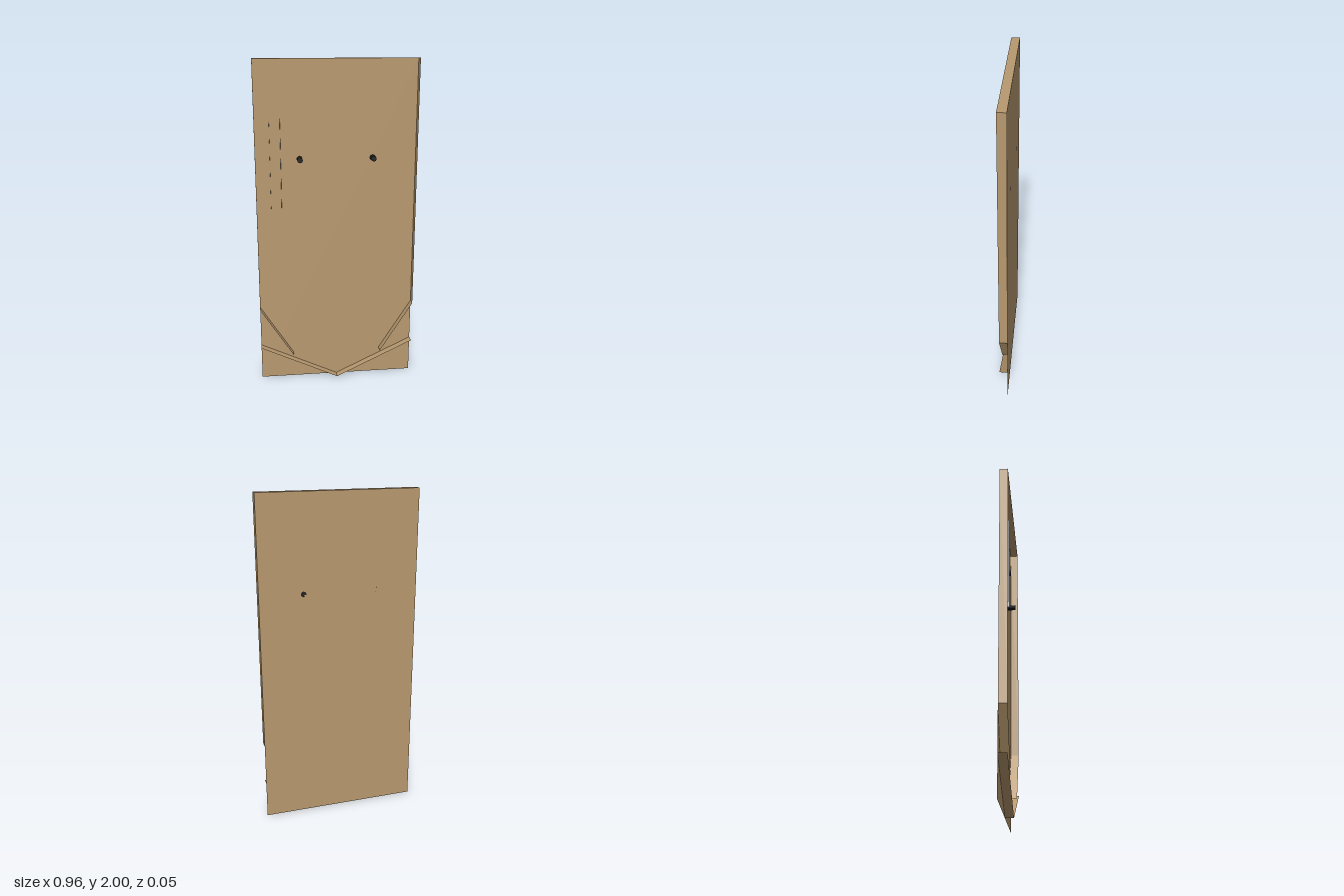
import * as THREE from 'three';

export function createModel() {
  const model = new THREE.Group();
  const material = (name, color) =>
    new THREE.MeshStandardMaterial({ name, color, side: THREE.DoubleSide, flatShading: true });
  const wood = material('wood', 0xb8996f);
  const steel = material('steel', 0xaeb2b6);
  const rubber = material('black rubber', 0x222222);

  const W = 0.48, H = 2, D = 0.05;

  const add = (name, geometry, mat, x, y, z = 0) => {
    const mesh = new THREE.Mesh(geometry, mat);
    mesh.name = name;
    mesh.position.set(x, y, z);
    model.add(mesh);
    return mesh;
  };

  // Thin strip standing out from the board between two points on it
  const strip = (name, mat, x1, y1, x2, y2) => {
    const length = Math.hypot(x2 - x1, y2 - y1);
    const geometry = new THREE.PlaneGeometry(length, D).rotateX(-Math.PI / 2);
    const mesh = add(name, geometry, mat, (x1 + x2) / 2, (y1 + y2) / 2);
    mesh.rotation.z = Math.atan2(y2 - y1, x2 - x1);
  };

  // Back board and top rail
  add('backBoard', new THREE.PlaneGeometry(2 * W, H), wood, 0, H / 2, -D / 2);
  strip('topRail', wood, W, H, -W, H);

  // Mirrored walls, guides, sloping floor and pegs
  for (const [side, s] of [['left', 1], ['right', -1]]) {
    strip(side + 'Wall', wood, s * W, 0.487, s * W, H);
    strip(side + 'Guide', wood, s * W, 0.487, s * 0.277, 0.168);
    strip(side + 'Floor', wood, s * W, 0.228, 0, 0);
    const peg = new THREE.CylinderGeometry(0.017, 0.017, D, 8).rotateX(Math.PI / 2);
    add(side + 'Peg', peg, rubber, s * 0.218, 1.423);
  }

  // Upright lane dividers on the right
  for (const x of [-0.393, -0.33]) strip('laneDivider', steel, x, 1.127, x, 1.684);

  return model;
}
